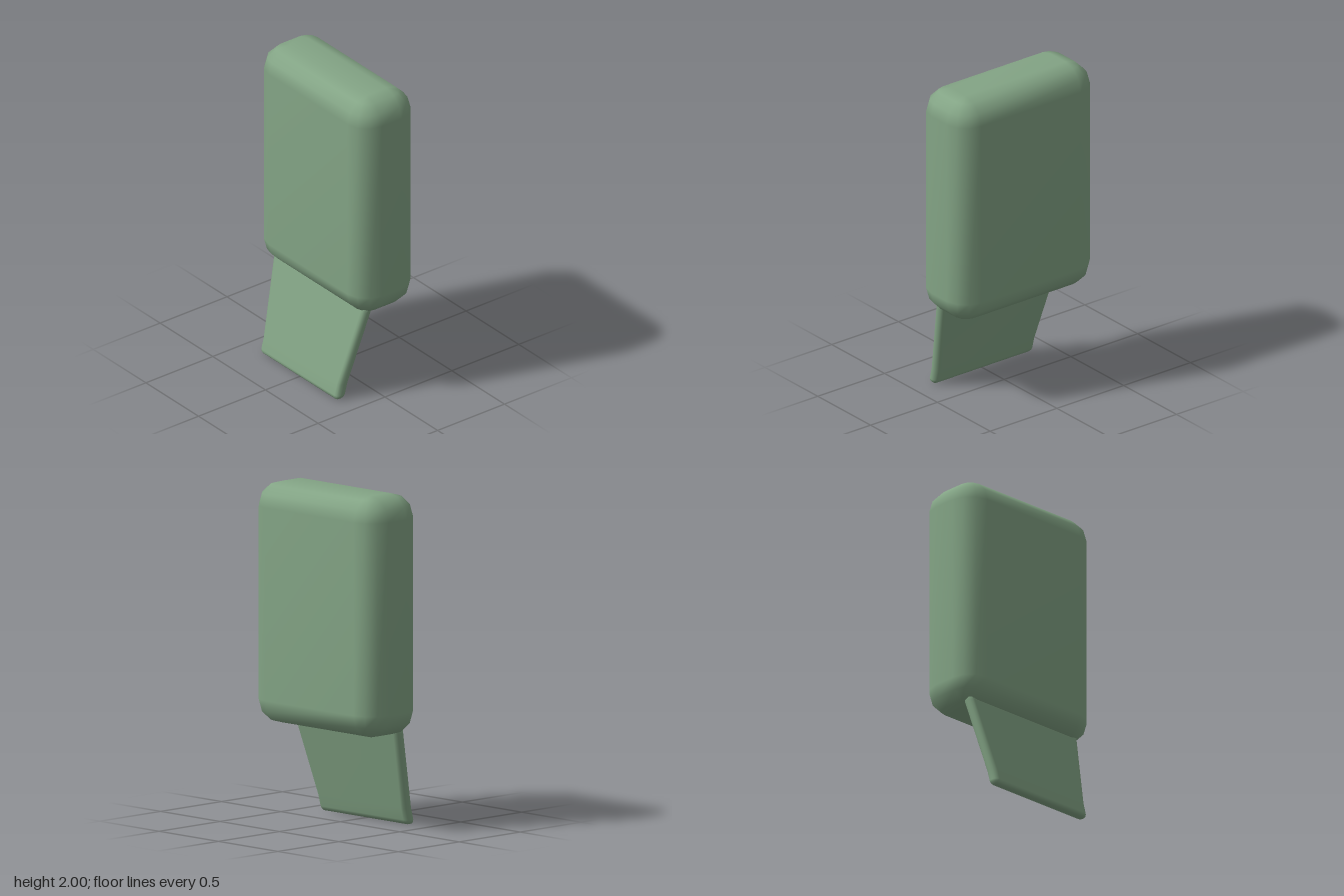
import * as THREE from 'three';
import { mergeVertices } from 'three/addons/utils/BufferGeometryUtils.js';

const SEG = 3; // bevel steps per quarter turn

// Skin stacked rounded-rectangle rings, listed bottom to top.
// Each ring: y, half width x, half depth z, corner radius r, depth offset cz.
function loft(rings) {
  const positions = [], index = [];
  const n = 4 * (SEG + 1);
  for (const { y, x, z, r, cz } of rings) {
    for (let q = 0; q < 4; q++) {
      const sx = q === 0 || q === 3 ? 1 : -1;
      const sz = q < 2 ? 1 : -1;
      for (let s = 0; s <= SEG; s++) {
        const a = (q + s / SEG) * Math.PI / 2;
        positions.push(sx * (x - r) + r * Math.cos(a), y, cz + sz * (z - r) + r * Math.sin(a));
      }
    }
  }
  const last = (rings.length - 1) * n;
  for (let k = 0; k < rings.length - 1; k++) {
    for (let i = 0; i < n; i++) {
      const a = k * n + i, b = k * n + (i + 1) % n;
      index.push(a, a + n, b, b, a + n, b + n);
    }
  }
  for (let i = 1; i < n - 1; i++) {
    index.push(0, i, i + 1); // bottom cap
    index.push(last, last + i + 1, last + i); // top cap
  }
  let geometry = new THREE.BufferGeometry();
  geometry.setAttribute('position', new THREE.Float32BufferAttribute(positions, 3));
  geometry.setIndex(index);
  geometry = mergeVertices(geometry, 1e-4);
  geometry.computeVertexNormals();
  return geometry;
}

// Rings of a rounded end; dir -1 is the bottom end, +1 the top end
function roundedEnd(yEnd, dir, x, z, r, centre) {
  const rings = [];
  for (let s = 0; s <= SEG; s++) {
    const a = (s / SEG) * Math.PI / 2;
    const y = yEnd - dir * r * (1 - Math.cos(a));
    const inset = r * (1 - Math.sin(a));
    rings.push({ y, x: x - inset, z: z - inset, r: r - inset, cz: centre(y) });
  }
  return dir < 0 ? rings : rings.reverse();
}

export function createModel() {
  const model = new THREE.Group();
  model.name = 'model';
  const green = new THREE.MeshStandardMaterial({ color: 0x83a485 });
  green.name = 'sage green';

  // Thick rounded block
  const bodyCentre = () => -0.037;
  const body = new THREE.Mesh(loft([
    ...roundedEnd(0.56, -1, 0.518, 0.218, 0.145, bodyCentre),
    ...roundedEnd(2, 1, 0.518, 0.218, 0.145, bodyCentre),
  ]), green);
  body.name = 'body';
  model.add(body);

  // Slanted flap, narrowing downwards and leaning forwards
  const lean = (y) => 0.226 - 0.268 * y;
  const r = 0.03;
  const flap = new THREE.Mesh(loft([
    ...roundedEnd(0, -1, 0.372, 0.036, r, lean),
    { y: 0.1, x: 0.372, z: 0.036, r, cz: lean(0.1) },
    { y: 0.57, x: 0.435, z: 0.036, r, cz: lean(0.57) },
    { y: 0.66, x: 0.447, z: 0.036, r, cz: lean(0.66) },
  ]), green);
  flap.name = 'flap';
  model.add(flap);

  return model;
}
